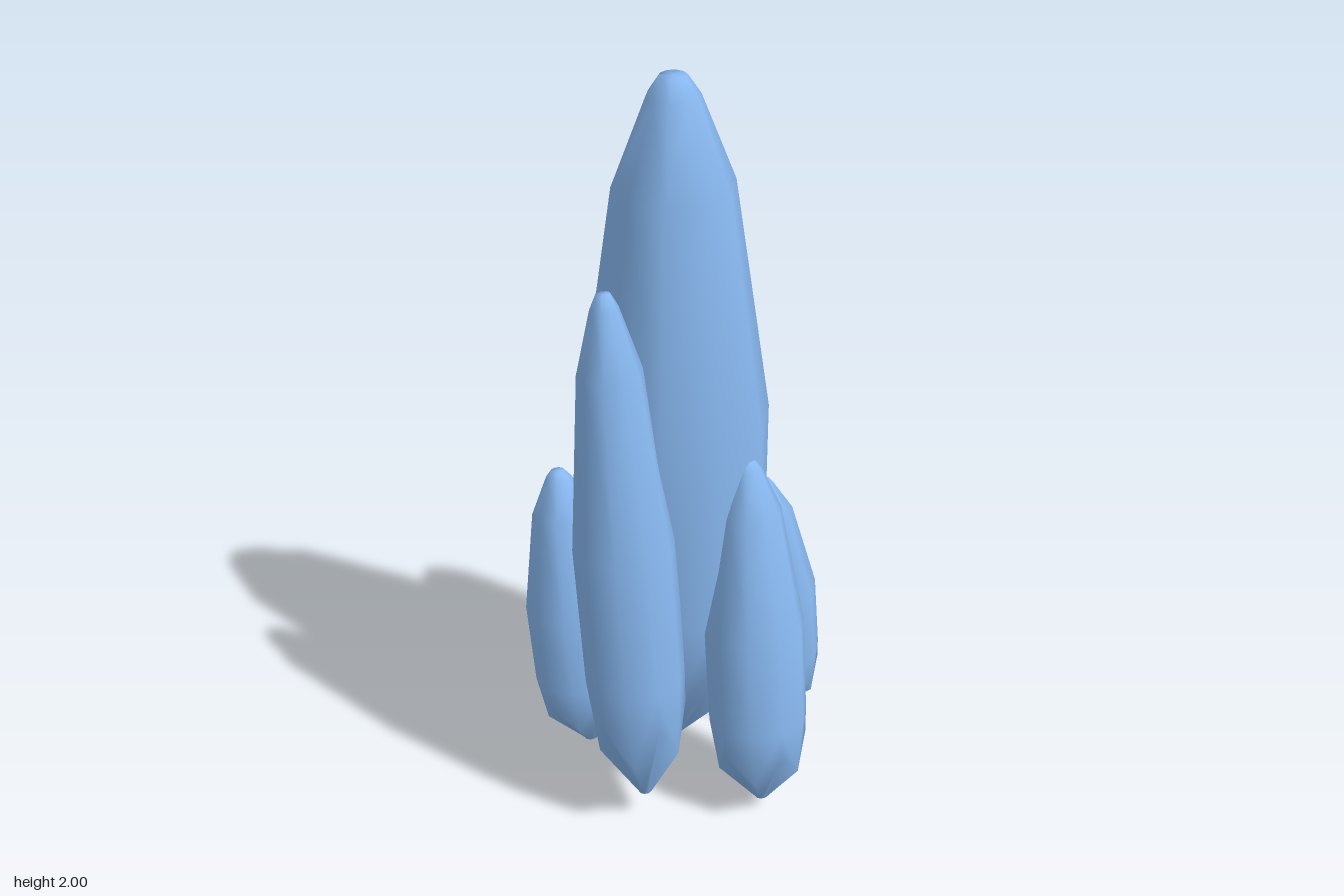
import * as THREE from 'three';

const SIDES = 10;

// Rings of a unit crystal, bottom to top: [height, radius, height on odd corners, radius on odd corners]
const RINGS = [
  [0, 0.13],
  [0.185, 0.96, 0.105, 0.84],
  [0.26, 0.99],
  [0.53, 1],
  [0.86, 0.62],
  [0.975, 0.27],
  [1, 0.14],
];

// Faceted shaft with a zigzag five-sided point below and a blunt tip above
function crystalGeometry(length, radius) {
  const points = [];
  const faces = [];
  for (const [h, r, oddH = h, oddR = r] of RINGS) {
    for (let i = 0; i < SIDES; i++) {
      const a = ((i + 0.5) / SIDES) * Math.PI * 2;
      const odd = i % 2 === 1;
      const rr = (odd ? oddR : r) * radius;
      points.push(Math.cos(a) * rr, (odd ? oddH : h) * length, Math.sin(a) * rr);
    }
  }
  for (let k = 0; k < RINGS.length - 1; k++) {
    for (let i = 0; i < SIDES; i++) {
      const j = (i + 1) % SIDES;
      const a = k * SIDES + i, b = k * SIDES + j;
      const c = a + SIDES, d = b + SIDES;
      // Diagonals mirror on each side of an odd corner
      if (i % 2 === 0) faces.push(a, c, b, b, c, d);
      else faces.push(a, c, d, a, d, b);
    }
  }
  // Close both ends
  const bottom = points.length / 3;
  points.push(0, 0, 0, 0, length, 0);
  const last = (RINGS.length - 1) * SIDES;
  for (let i = 0; i < SIDES; i++) {
    const j = (i + 1) % SIDES;
    faces.push(bottom, i, j, bottom + 1, last + j, last + i);
  }
  const geometry = new THREE.BufferGeometry();
  geometry.setAttribute('position', new THREE.Float32BufferAttribute(points, 3));
  geometry.setIndex(faces);
  geometry.computeVertexNormals();
  return geometry;
}

// Each crystal: name, lower end, upper end, radius
const CRYSTALS = [
  ['mainCrystal', [-0.047, 0.05, -0.01], [-0.045, 2.0, -0.005], 0.247],
  ['tallFrontCrystal', [-0.26, 0.08, 0.225], [-0.28, 1.525, 0.08], 0.132],
  ['backRightCrystal', [-0.26, 0.01, -0.12], [-0.28, 0.85, -0.235], 0.132],
  ['backCrystal', [-0.06, 0.05, -0.34], [0.14, 1.21, -0.215], 0.13],
  ['frontCrystal', [0.035, 0.03, 0.34], [0.06, 1.02, 0.19], 0.133],
  ['leftCrystal', [0.29, 0.0, -0.02], [0.2, 0.82, 0.01], 0.135],
];

export function createModel() {
  const group = new THREE.Group();
  group.name = 'crystalCluster';
  const material = new THREE.MeshStandardMaterial({ color: 0x88b8f0 });
  const up = new THREE.Vector3(0, 1, 0);
  for (const [name, from, to, radius] of CRYSTALS) {
    const start = new THREE.Vector3(...from);
    const axis = new THREE.Vector3(...to).sub(start);
    const mesh = new THREE.Mesh(crystalGeometry(axis.length(), radius), material);
    mesh.name = name;
    mesh.position.copy(start);
    mesh.quaternion.setFromUnitVectors(up, axis.normalize());
    group.add(mesh);
  }
  return group;
}
